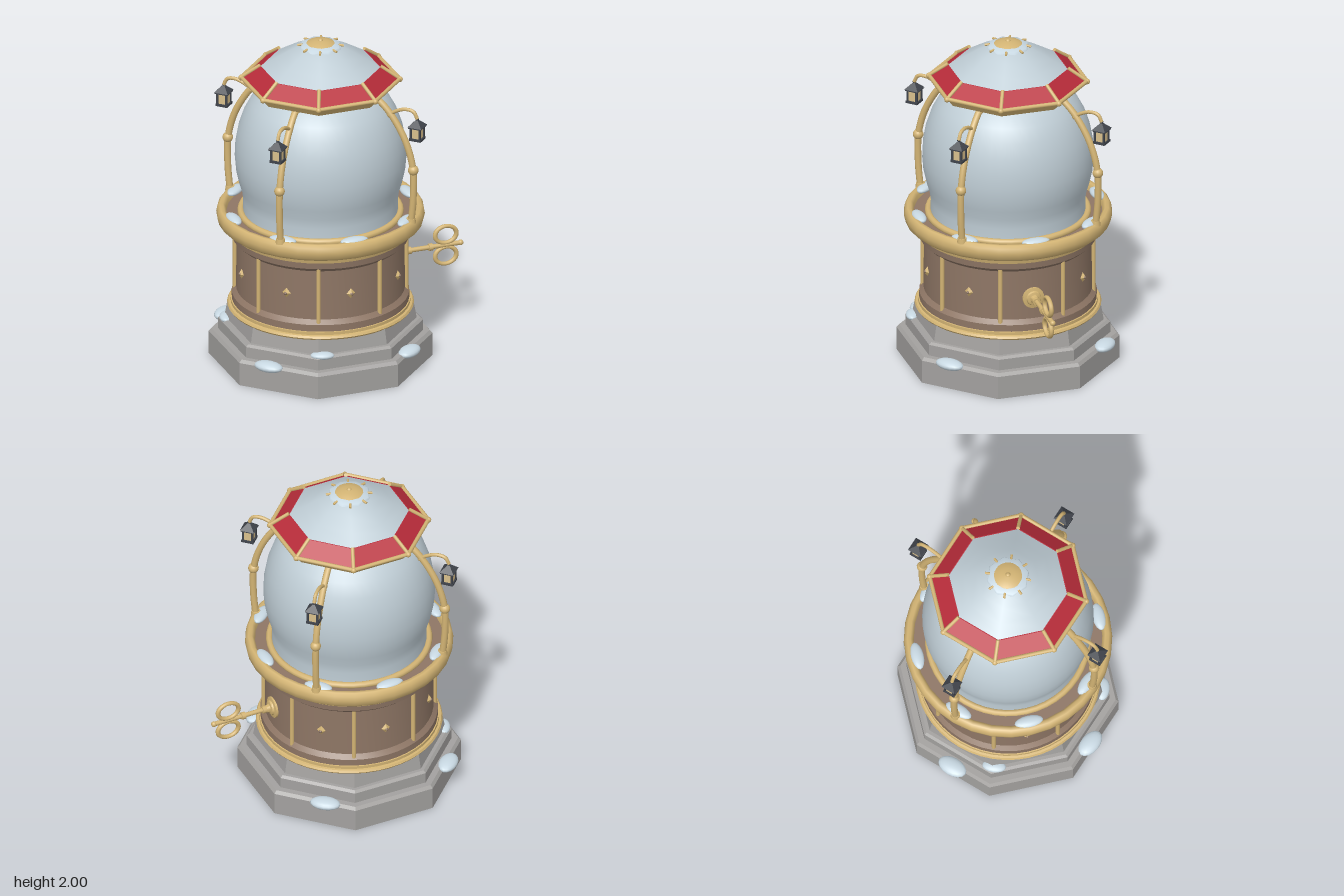
import * as THREE from 'three';
import { toCreasedNormals } from 'three/addons/utils/BufferGeometryUtils.js';

const mat = (name, color) => Object.assign(new THREE.MeshStandardMaterial({ color }), { name });

export function createModel() {
  const gold = mat('gold', 0xd3b474);
  const brown = mat('brown', 0x8e7665);
  const stone = mat('stone grey', 0xa3a19f);
  const glass = mat('globe blue grey', 0xc0ced6);
  const snow = mat('snow', 0xc8d8e2);
  const red = mat('red', 0xb82c3a);
  const iron = mat('dark iron', 0x40444b);
  const pane = mat('lantern pane', 0xd9c08c);

  const model = new THREE.Group();
  model.name = 'snowGlobeTower';
  const body = new THREE.Group();
  body.name = 'tower';
  body.position.x = -0.143;
  model.add(body);

  const V = (x, y, z) => new THREE.Vector3(x, y, z);
  const add = (name, geo, material, parent = body, x = 0, y = 0, z = 0) => {
    const m = new THREE.Mesh(geo, material);
    m.name = name;
    m.position.set(x, y, z);
    parent.add(m);
    return m;
  };
  const lathe = (pts, seg = 48) => new THREE.LatheGeometry(pts.map(p => new THREE.Vector2(p[0], p[1])), seg);
  const sharpLathe = (pts, seg = 48) => toCreasedNormals(lathe(pts, seg), 0.6);
  // Octagonal frustum given by its flat-to-flat half widths
  const C8 = Math.cos(Math.PI / 8);
  const octagon = (bottom, top, y0, y1) => {
    const g = new THREE.CylinderGeometry(top / C8, bottom / C8, y1 - y0, 8);
    g.rotateY(Math.PI / 8).translate(0, (y0 + y1) / 2, 0);
    return toCreasedNormals(g, 0.3);
  };
  const rod = (name, a, b, r, material, parent = body) => {
    const m = add(name, new THREE.CylinderGeometry(r, r, a.distanceTo(b), 10), material, parent);
    m.position.copy(a).lerp(b, 0.5);
    m.quaternion.setFromUnitVectors(V(0, 1, 0), b.clone().sub(a).normalize());
    return m;
  };
  const ball = (name, r, material, parent, x, y, z) =>
    add(name, new THREE.SphereGeometry(r, 16, 12), material, parent, x, y, z);
  // A group turned round the axis; its +z points outward
  const spoke = (name, angle) => {
    const g = new THREE.Group();
    g.name = name;
    g.rotation.y = angle;
    body.add(g);
    return g;
  };

  // Stepped stone base
  add('baseStep', octagon(0.6, 0.6, 0, 0.14), stone);
  add('baseStepBevel', octagon(0.6, 0.585, 0.14, 0.158), stone);
  add('middleStep', octagon(0.55, 0.55, 0.158, 0.225), stone);
  add('middleStepBevel', octagon(0.55, 0.535, 0.225, 0.238), stone);
  add('topStep', octagon(0.515, 0.5, 0.238, 0.33), stone);

  // Drum with flared ends and gold bands
  add('drum', sharpLathe([[0.515, 0.36], [0.515, 0.41], [0.49, 0.435], [0.488, 0.74], [0.515, 0.765], [0.52, 0.82]]), brown);
  add('lowerBand', sharpLathe([[0.3, 0.325], [0.535, 0.325], [0.542, 0.335], [0.535, 0.347], [0.522, 0.35],
    [0.522, 0.368], [0.49, 0.372]]), gold);
  add('upperCollar', sharpLathe([[0.49, 0.805], [0.525, 0.805], [0.53, 0.825], [0.56, 0.84], [0.56, 0.86]]), gold);
  add('balconyRail', lathe([[0.545, 0.84], [0.575, 0.845], [0.597, 0.865], [0.605, 0.9], [0.6, 0.93],
    [0.585, 0.948], [0.565, 0.948], [0.55, 0.93], [0.545, 0.89]], 32), gold);
  add('balconyDeck', lathe([[0.56, 0.905], [0.4, 0.905]]), brown);
  const ring = new THREE.TorusGeometry(0.463, 0.02, 10, 48).rotateX(Math.PI / 2);
  add('globeRing', ring, gold, body, 0, 0.915, 0);

  // Gold posts and diamond studs round the drum
  const diamond = new THREE.CylinderGeometry(0.011, 0.032, 0.016, 4).rotateX(Math.PI / 2);
  diamond.scale(0.85, 1.05, 1);
  const studGeo = toCreasedNormals(diamond, 0.3);
  for (let i = 0; i < 8; i++) {
    const a = i * Math.PI / 4;
    const post = spoke('drumPost', a + Math.PI / 8);
    rod('post', V(0, 0.36, 0.497), V(0, 0.82, 0.497), 0.013, gold, post);
    if (i === 2) continue;
    const stud = spoke('drumStud', a);
    add('diamond', studGeo, gold, stud, 0, 0.587, 0.495);
    ball('studCentre', 0.009, brown, stud, 0, 0.587, 0.502);
  }

  // Globe
  add('globe', lathe([[0.45, 0.9], [0.448, 0.99], [0.457, 1.05], [0.475, 1.11], [0.491, 1.18], [0.498, 1.26], [0.494, 1.35],
    [0.478, 1.44], [0.448, 1.53], [0.405, 1.61], [0.34, 1.68], [0.25, 1.73], [0, 1.78]]), glass);

  // Curved ribs with lanterns
  const ribPath = new THREE.CatmullRomCurve3([[0.572, 0.92], [0.588, 1.1], [0.585, 1.28], [0.545, 1.43],
    [0.478, 1.555], [0.41, 1.64], [0.335, 1.705]].map(p => V(0, p[1], p[0])));
  const ribGeo = new THREE.TubeGeometry(ribPath, 32, 0.02, 10);
  const armPath = new THREE.CatmullRomCurve3([V(0, 1.595, 0.43), V(0, 1.63, 0.485), V(0, 1.648, 0.54),
    V(0, 1.64, 0.59), V(0, 1.6, 0.613)]);
  const armGeo = new THREE.TubeGeometry(armPath, 20, 0.011, 8);
  const roofGeo = toCreasedNormals(new THREE.ConeGeometry(0.062, 0.045, 4).rotateY(Math.PI / 4), 0.3);
  for (let i = 0; i < 4; i++) {
    const s = spoke('ribAndLantern', Math.PI / 4 + i * Math.PI / 2);
    add('rib', ribGeo, gold, s);
    add('ribFoot', new THREE.CylinderGeometry(0.026, 0.03, 0.03, 12), gold, s, 0, 0.95, 0.573);
    add('ribBracket', new THREE.BoxGeometry(0.045, 0.025, 0.04), gold, s, 0, 1.69, 0.345);
    ball('ribKnob', 0.031, gold, s, 0, 1.27, 0.588);
    ball('armJoint', 0.02, gold, s, 0, 1.6, 0.44);
    add('lanternArm', armGeo, gold, s);
    const l = new THREE.Group();
    l.name = 'lantern';
    l.position.z = 0.613;
    s.add(l);
    add('lanternRoof', roofGeo, iron, l, 0, 1.578, 0);
    ball('lanternTip', 0.01, iron, l, 0, 1.6, 0);
    add('lanternEave', new THREE.BoxGeometry(0.08, 0.012, 0.08), iron, l, 0, 1.553, 0);
    add('lanternLight', new THREE.BoxGeometry(0.056, 0.07, 0.056), pane, l, 0, 1.515, 0);
    add('lanternFloor', new THREE.BoxGeometry(0.074, 0.014, 0.074), iron, l, 0, 1.477, 0);
    for (const x of [-0.028, 0.028]) for (const z of [-0.028, 0.028])
      add('lanternBar', new THREE.BoxGeometry(0.012, 0.075, 0.012), iron, l, x, 1.515, z);
  }

  // Octagonal roof: gold eave, red band, snowy cap
  const eave = octagon(0.385, 0.425, 1.695, 1.752);
  add('roofEave', eave, gold);
  add('roofRedBand', octagon(0.415, 0.325, 1.752, 1.822), red);
  const cap = lathe([[0.358, 1.815], [0.33, 1.832], [0.265, 1.872], [0.185, 1.921], [0.12, 1.954], [0.06, 1.975], [0, 1.98]], 8);
  add('roofCap', cap.rotateY(Math.PI / 8), glass);
  add('summitSnow', lathe([[0.125, 1.95], [0.118, 1.963], [0.07, 1.977], [0, 1.98]], 8), snow);
  add('summitCap', lathe([[0.086, 1.966], [0.08, 1.975], [0.04, 1.987], [0, 1.99]], 24), gold);
  ball('summitKnob', 0.015, gold, body, 0, 1.985, 0);
  const R = 0.425 / C8;
  const corner = (r, y, a) => V(r * Math.sin(a), y, r * Math.cos(a));
  for (let i = 0; i < 8; i++) {
    const a = (i + 0.5) * Math.PI / 4, b = a + Math.PI / 4;
    rod('eaveBeam', corner(R, 1.75, a), corner(R, 1.75, b), 0.012, gold);
    rod('roofRib', corner(R, 1.752, a), corner(0.35, 1.828, a), 0.011, gold);
    const k = corner(R, 1.748, a);
    ball('eaveKnob', 0.017, gold, body, k.x, k.y, k.z);
    rod('summitPeg', corner(0.105, 1.962, a), corner(0.135, 1.957, a), 0.007, gold);
  }

  // Snow drifts on the rail and the steps
  const drift = (name, x, y, z, sx, sy, sz) => {
    const m = add(name, new THREE.SphereGeometry(1, 16, 10), snow, body, x, y, z);
    m.scale.set(sx, sy, sz);
    m.rotation.y = Math.atan2(x, z);
  };
  for (let i = 0; i < 8; i++) {
    const p = corner(0.54, 0.943, i * Math.PI / 4);
    drift('railSnow', p.x, p.y, p.z, 0.085, 0.022, 0.038);
  }
  for (const [x, z] of [[0.37, 0.47], [0.38, -0.47], [-0.47, 0.38], [-0.43, -0.43]])
    drift('stepSnow', x, 0.152, z, 0.09, 0.03, 0.055);
  for (const [x, z] of [[-0.19, 0.52], [-0.51, -0.2]])
    drift('upperStepSnow', x, 0.235, z, 0.07, 0.022, 0.04);

  // Winding key
  const key = new THREE.Group();
  key.name = 'windingKey';
  key.position.y = 0.567;
  model.add(key);
  const plate = sharpLathe([[0.064, 0], [0.064, 0.012], [0.045, 0.016], [0.04, 0.026], [0.025, 0.03], [0.02, 0.055], [0, 0.055]], 24);
  add('keyPlate', plate.rotateZ(-Math.PI / 2), gold, key, 0.343, 0, 0);
  rod('keyShaft', V(0.34, 0, 0), V(0.735, 0, 0), 0.014, gold, key);
  for (const x of [0.405, 0.54])
    rod('keyCollar', V(x - 0.012, 0, 0), V(x + 0.012, 0, 0), 0.022, gold, key);
  ball('keyTip', 0.017, gold, key, 0.727, 0, 0);
  for (const s of [-1, 1]) {
    const loop = add('keyLoop', new THREE.TorusGeometry(0.066, 0.014, 10, 32), gold, key, 0.635, s * 0.066, 0);
    loop.scale.y = 0.8;
  }
  return model;
}
